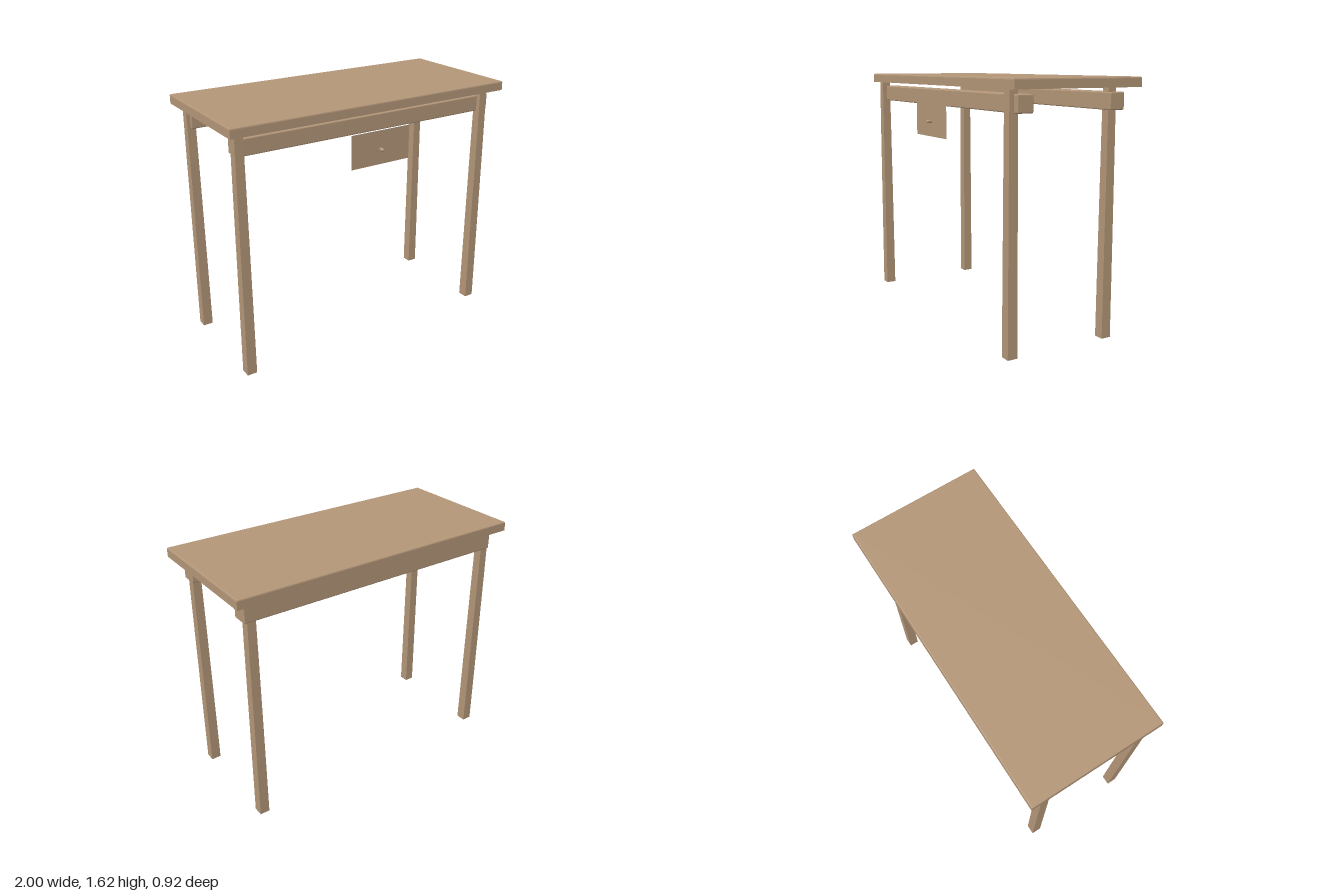
import * as THREE from 'three';
import { RoundedBoxGeometry } from 'three/addons/geometries/RoundedBoxGeometry.js';

const wood = new THREE.MeshStandardMaterial({ color: 0xb39678, flatShading: true, side: THREE.DoubleSide });

// Hollow rectangular shell, open below: rings of [y, width, depth] from bottom to top
function shell(rings) {
  const corners = rings.map(([y, w, d]) => [[-1, 1], [1, 1], [1, -1], [-1, -1]]
    .map(([sx, sz]) => [sx * w / 2, y, sz * d / 2]));
  const pos = [];
  const quad = (a, b, c, d) => pos.push(...a, ...b, ...c, ...a, ...c, ...d);
  for (let i = 0; i < corners.length - 1; i++) {
    const lo = corners[i], hi = corners[i + 1];
    for (let k = 0; k < 4; k++) {
      const n = (k + 1) % 4;
      quad(lo[k], lo[n], hi[n], hi[k]);
    }
  }
  quad(...corners[corners.length - 1]);
  const geometry = new THREE.BufferGeometry();
  geometry.setAttribute('position', new THREE.Float32BufferAttribute(pos, 3));
  geometry.computeVertexNormals();
  return geometry;
}

export function createModel() {
  const group = new THREE.Group();
  const add = (name, geometry, x, y, z) => {
    const mesh = new THREE.Mesh(geometry, wood);
    mesh.name = name;
    mesh.position.set(x, y, z);
    group.add(mesh);
    return mesh;
  };

  // Table top with softened upper edge, hollow underneath
  add('tableTop', shell([[1.56, 2, 0.885], [1.612, 2, 0.885], [1.618, 1.996, 0.881], [1.621, 1.986, 0.871]]), 0, 0, -0.018);

  // Slightly tapered legs, open at the foot
  const leg = shell([[0, 0.065, 0.066], [0.4, 0.063, 0.064], [1.2, 0.058, 0.059], [1.56, 0.055, 0.055]]);
  for (const [side, x] of [['Right', -0.934], ['Left', 0.866]]) {
    add('front' + side + 'Leg', leg, x, 0, 0.362);
    add('back' + side + 'Leg', leg, x, 0, -0.328);
  }

  // Long rails under the top
  const rail = new RoundedBoxGeometry(1.87, 0.106, 0.107, 2, 0.007);
  add('frontRail', rail, -0.005, 1.478, 0.307);
  add('backRail', rail, -0.005, 1.478, -0.338);

  // Thin drawer front with its knob
  add('drawerFront', new THREE.PlaneGeometry(0.435, 0.22), -0.002, 1.338, 0.43);
  const profile = [[0, -0.031], [0.006, -0.03], [0.011, -0.024], [0.011, 0.024], [0.006, 0.03], [0, 0.031]]
    .map(([r, y]) => new THREE.Vector2(r, y));
  const knob = add('drawerKnob', new THREE.LatheGeometry(profile, 12), -0.002, 1.326, 0.431);
  knob.rotation.x = Math.PI / 2;

  return group;
}
